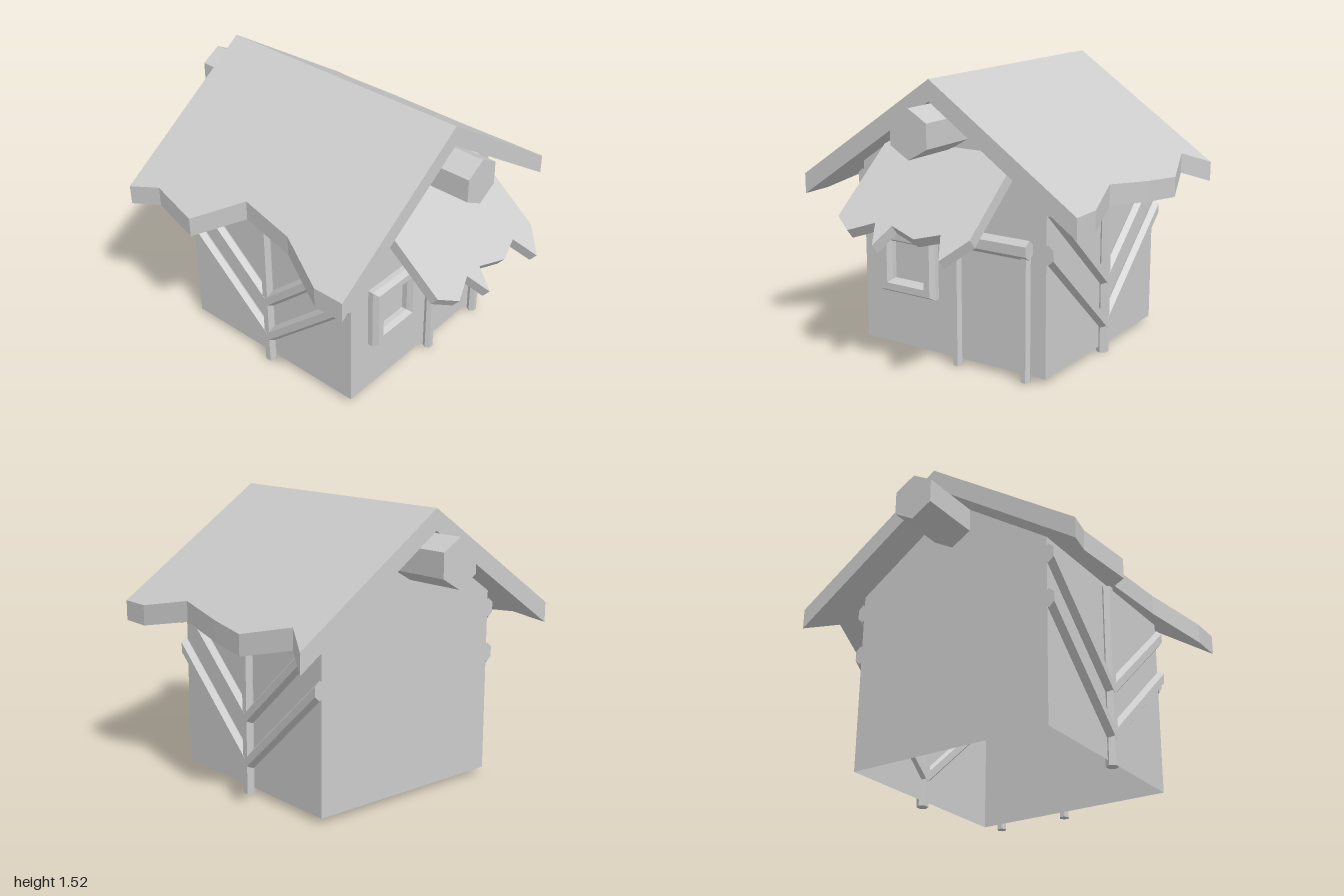
import * as THREE from 'three';

const material = new THREE.MeshStandardMaterial({ color: 0xcccccc, flatShading: true, side: THREE.DoubleSide });

const X0 = -0.665, X1 = 0.48, XM = (X0 + X1) / 2; // wall extents
const ZW = 0.575, FLOOR = 0.03, PITCH = 0.68, APEX = 1.41;

function add(parent, name, geometry, x = 0, y = 0, z = 0) {
  const mesh = new THREE.Mesh(geometry, material);
  mesh.name = name;
  mesh.position.set(x, y, z);
  parent.add(mesh);
  return mesh;
}

// Six-sided upright bar; turned = true puts a flat face towards z
function hexBar(radius, length, turned) {
  return new THREE.CylinderGeometry(radius, radius, length, 6, 1, false, turned ? Math.PI / 6 : 0);
}

// Flat outline in x,z extruded downwards from y = 0
function slab(points, thickness) {
  const shape = new THREE.Shape(points.map(([x, z]) => new THREE.Vector2(x, z)));
  return new THREE.ExtrudeGeometry(shape, { depth: thickness, bevelEnabled: false }).rotateX(Math.PI / 2);
}

// Move every vertex up or down by rule(x, z)
function shear(geometry, rule) {
  const p = geometry.attributes.position;
  for (let i = 0; i < p.count; i++) p.setY(i, p.getY(i) + rule(p.getX(i), p.getZ(i)));
  geometry.computeVertexNormals();
  return geometry;
}

// Open-bottomed walls: two gable ends and two long sides
function buildWalls() {
  const walls = new THREE.Group();
  walls.name = 'walls';
  const eave = APEX - PITCH * ZW;
  const gable = new THREE.Shape([[-ZW, FLOOR], [ZW, FLOOR], [ZW, eave], [0, APEX], [-ZW, eave]]
    .map(([z, y]) => new THREE.Vector2(z, y)));
  const side = new THREE.PlaneGeometry(X1 - X0, eave - FLOOR);
  for (const s of [1, -1]) {
    add(walls, 'gableWall', new THREE.ShapeGeometry(gable), s > 0 ? X1 : X0).rotation.y = s * Math.PI / 2;
    add(walls, 'sideWall', side, XM, (eave + FLOOR) / 2, s * ZW).rotation.y = s > 0 ? 0 : Math.PI;
  }
  return walls;
}

// Two pitched slabs with ragged eaves
function buildRoof() {
  const roof = new THREE.Group();
  roof.name = 'roof';
  const eaves = {
    frontRoof: [[-0.84, 0.84], [-0.665, 0.785], [-0.38, 0.84], [-0.14, 0.66], [0.19, 0.71], [0.48, 0.84], [0.655, 0.84]],
    backRoof: [[-0.84, -0.845], [-0.665, -0.745], [-0.38, -0.845], [-0.14, -0.815], [0.19, -0.76], [0.48, -0.845], [0.655, -0.845]],
  };
  for (const [name, edge] of Object.entries(eaves)) {
    const geometry = slab([[0.655, 0], [-0.84, 0], ...edge], 0.11);
    add(roof, name, shear(geometry, (x, z) => -PITCH * Math.abs(z)), 0, 1.52);
  }
  return roof;
}

// Post with two pairs of rising braces on one long side
function buildTimbers(s) {
  const timbers = new THREE.Group();
  timbers.name = s > 0 ? 'frontTimbers' : 'backTimbers';
  const z = s * 0.585, length = (X1 - X0) / 2;
  add(timbers, 'post', hexBar(0.033, 0.99, true), XM, 0.495, z);
  for (const side of [1, -1]) {
    for (const y of [0.165, 0.41]) {
      const brace = hexBar(0.052, length, true).rotateZ(Math.PI / 2).scale(1, 1, 0.66);
      brace.translate(side * length / 2, 0, 0);
      add(timbers, 'brace', shear(brace, (x) => 0.9 * Math.abs(x)), XM, y, z);
    }
  }
  return timbers;
}

// Broken-edged canopy over the door
function buildCanopy() {
  const angle = 0.687, top = 0.47;
  const edge = [[0.885, 0.405], [0.94, 0.3], [0.885, 0.165], [0.985, 0.105], [0.885, 0.06],
    [0.925, -0.105], [0.885, -0.235], [0.995, -0.305], [0.885, -0.405]];
  const along = edge.map(([x, z]) => [(x - top) / Math.cos(angle), z]);
  const geometry = slab([[0, -0.405], [0, 0.405], ...along], 0.063).rotateZ(-angle);
  const canopy = new THREE.Group();
  canopy.name = 'canopy';
  add(canopy, 'canopySlab', geometry, top, 1.165);
  return canopy;
}

// Two posts and a lintel
function buildDoorFrame() {
  const door = new THREE.Group();
  door.name = 'doorFrame';
  for (const z of [-0.055, -0.475]) add(door, 'doorPost', hexBar(0.0275, 0.68, false), 0.508, 0.345, z);
  const lintel = hexBar(0.052, 0.47, false).rotateX(Math.PI / 2).scale(0.75, 1, 1);
  add(door, 'lintel', lintel, 0.517, 0.698, -0.265);
  return door;
}

// Square bevelled frame: a four-sided lathe facing +x
function buildWindow() {
  const profile = [[0.177, 0], [0.177, 0.03], [0.16, 0.06], [0.122, 0.06], [0.106, 0.03], [0.106, 0]]
    .map(([half, out]) => new THREE.Vector2(half * Math.SQRT2, out));
  const frame = new THREE.LatheGeometry(profile, 4, Math.PI / 4).rotateZ(-Math.PI / 2);
  const group = new THREE.Group();
  group.name = 'window';
  add(group, 'windowFrame', frame, X1, 0.507, 0.263);
  return group;
}

export function createModel() {
  const house = new THREE.Group();
  house.name = 'cottage';
  house.add(buildWalls(), buildRoof(), buildTimbers(1), buildTimbers(-1),
    buildCanopy(), buildDoorFrame(), buildWindow());
  // Ridge beam poking out of both gables
  add(house, 'ridgeBeam', hexBar(0.127, 1.82, true).rotateZ(Math.PI / 2), -0.09, 1.272, 0);
  return house;
}
